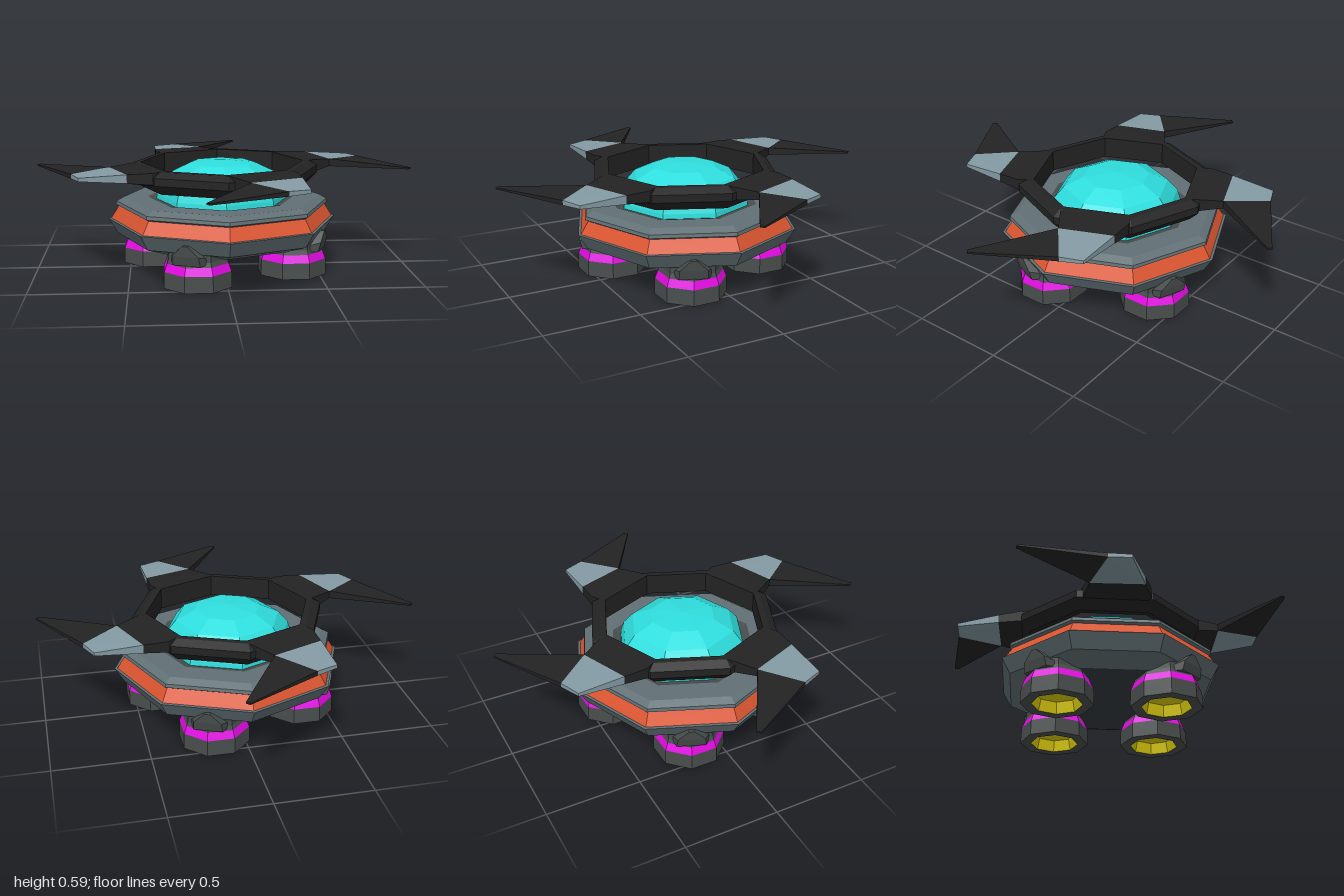
import * as THREE from 'three';
import { ConvexGeometry } from 'three/addons/geometries/ConvexGeometry.js';

const paint = (name, color) =>
  new THREE.MeshStandardMaterial({ name, color, flatShading: true });

const MAT = {
  hull: paint('slate hull', 0x617075),
  dark: paint('dark underside', 0x343c3f),
  engine: paint('engine grey', 0x484e4d),
  orange: paint('orange band', 0xdb5530),
  black: paint('black blade', 0x232323),
  pale: paint('pale blade panel', 0x849ba4),
  teal: paint('teal canopy', 0x2fdede),
  magenta: paint('magenta band', 0xe20ae2),
  yellow: paint('yellow nozzle', 0xe3d210),
};

function add(group, name, geometry, material) {
  const mesh = new THREE.Mesh(geometry, material);
  mesh.name = name;
  group.add(mesh);
  return mesh;
}

// Eight-sided turned part; profile of [radius, y] runs from bottom to top
function turned(profile, start = 0) {
  return new THREE.LatheGeometry(profile.map(([r, y]) => new THREE.Vector2(r, y)), 8, start);
}

// Convex slab from corners of [x, z, bottom y, top y]
function slab(corners) {
  return new ConvexGeometry(corners.flatMap(([x, z, lo, hi]) => [
    new THREE.Vector3(x, lo, z), new THREE.Vector3(x, hi, z),
  ]));
}

function makeBlade() {
  const blade = new THREE.Group();
  const front = [0.5, -0.362, 0.525, 0.57];
  const inner = [0.6, -0.1, 0.525, 0.566];
  const elbow = [0.785, -0.257, 0.534, 0.558];
  add(blade, 'bladeRoot', slab([
    [0.33, -0.33, 0.5, 0.576], [0.375, -0.358, 0.515, 0.574], front, inner, [0.46, 0, 0.5, 0.576],
  ]), MAT.black);
  add(blade, 'bladePanel', slab([
    front, [0.74, -0.367, 0.538, 0.556], elbow, inner,
  ]), MAT.pale);
  add(blade, 'bladeTip', slab([
    inner, elbow, [0.999, 0.118, 0.542, 0.55], [0.982, 0.134, 0.542, 0.55],
  ]), MAT.black);
  return blade;
}

function makeThruster() {
  const thruster = new THREE.Group();
  const angle = Math.PI / 8;
  const engine = new THREE.Group();
  engine.name = 'engine';
  engine.position.set(0.393 * Math.cos(angle), 0, 0.393 * Math.sin(angle));
  thruster.add(engine);
  const part = (name, profile, mat) => add(engine, name, turned(profile, angle), mat);
  part('nozzleInterior', [[0, 0.06], [0.115, 0.06], [0.13, 0]], MAT.yellow);
  part('nozzleShell', [[0.13, 0], [0.187, 0], [0.184, 0.085]], MAT.engine);
  part('engineBand', [[0.184, 0.085], [0.168, 0.126]], MAT.magenta);
  part('engineNeck', [[0.168, 0.126], [0.16, 0.15], [0.16, 0.2]], MAT.engine);

  // Pointed bracket between engine and hull side
  const bracket = add(thruster, 'engineBracket', new ConvexGeometry([
    [0.4, 0.14, 0.14], [0.4, 0.14, -0.14], [0.4, 0.24, 0],
    [0.555, 0.135, 0.075], [0.555, 0.135, -0.075],
    [0.567, 0.185, 0.07], [0.567, 0.185, -0.07],
    [0.572, 0.238, 0.015], [0.572, 0.238, -0.015],
  ].map((p) => new THREE.Vector3(...p))), MAT.engine);
  bracket.rotation.y = -angle;
  return thruster;
}

export function createModel() {
  const model = new THREE.Group();
  model.name = 'saucer';

  // Stacked octagonal hull
  add(model, 'hullBase', turned([[0, 0.145], [0.44, 0.145]]), MAT.dark);
  add(model, 'lowerHull', turned([[0.44, 0.145], [0.567, 0.19], [0.615, 0.27], [0.6, 0.272]]), MAT.hull);
  add(model, 'hullBand', turned([[0.6, 0.272], [0.558, 0.338]]), MAT.orange);
  add(model, 'upperHull', turned([
    [0.558, 0.338], [0.574, 0.347], [0.57, 0.365], [0.53, 0.388], [0.4, 0.388],
  ]), MAT.hull);
  add(model, 'canopySeat', turned([[0.4, 0.388], [0.34, 0.372]]), MAT.engine);

  // Faceted canopy
  add(model, 'canopy', turned([
    [0.355, 0.375], [0.352, 0.4], [0.335, 0.455], [0.28, 0.52], [0.175, 0.57], [0, 0.586],
  ]), MAT.teal);

  // Floating ring that carries the blades
  add(model, 'bladeRing', turned([
    [0.435, 0.46], [0.465, 0.46], [0.515, 0.51], [0.515, 0.55], [0.47, 0.576], [0.435, 0.576], [0.435, 0.46],
  ]), MAT.black);

  // Four-fold pinwheel of blades and engines
  for (let i = 0; i < 4; i++) {
    for (const [name, make] of [['blade', makeBlade], ['thruster', makeThruster]]) {
      const unit = make();
      unit.name = name + (i + 1);
      unit.rotation.y = i * Math.PI / 2;
      model.add(unit);
    }
  }
  return model;
}
